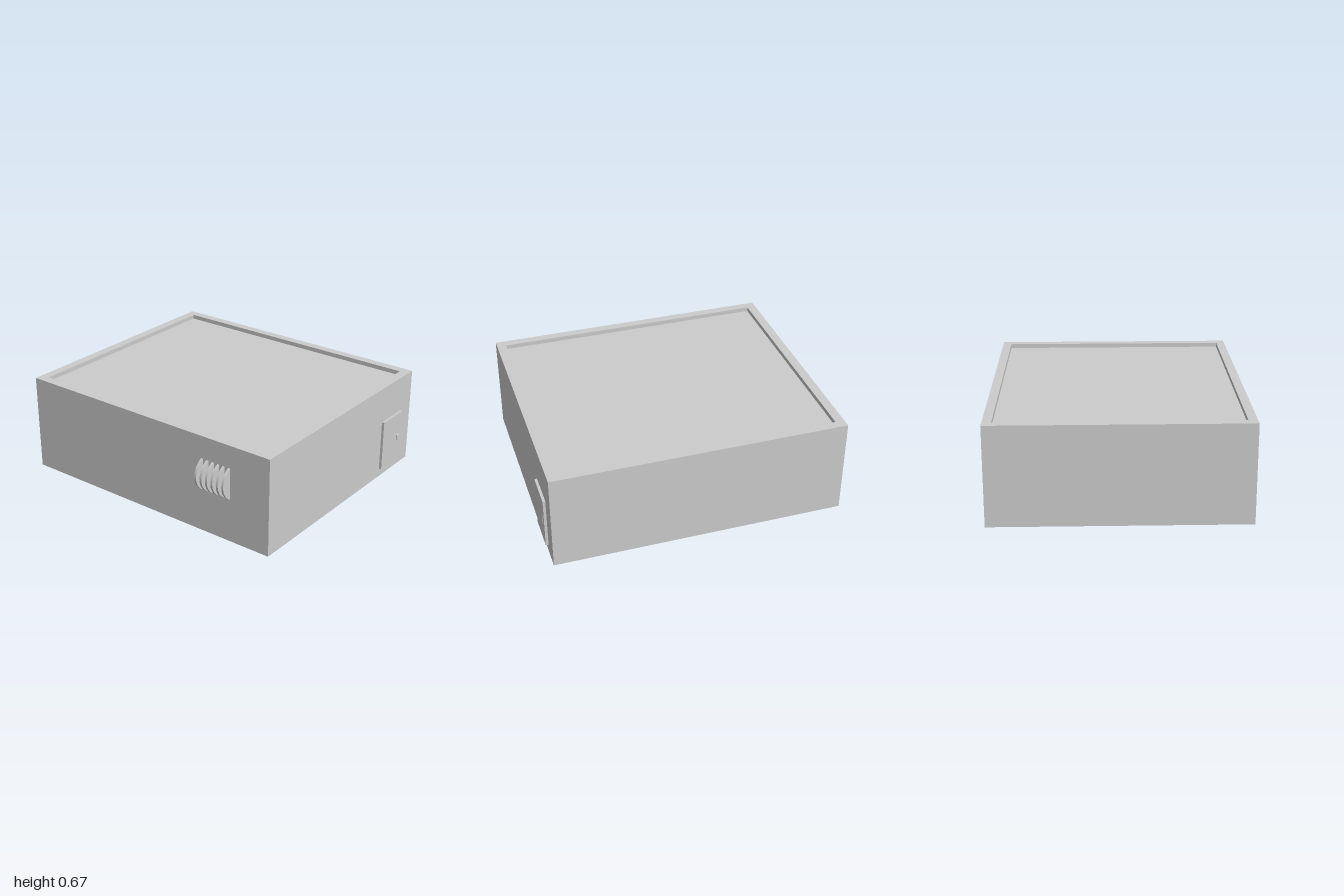
import * as THREE from 'three';

const material = new THREE.MeshStandardMaterial({ color: 0xcccccc });

function addMesh(parent, name, geometry, x = 0, y = 0, z = 0) {
  const mesh = new THREE.Mesh(geometry, material);
  mesh.name = name;
  mesh.position.set(x, y, z);
  parent.add(mesh);
  return mesh;
}

// Closed skin through rectangular rings, from the bottom ring to the last one.
function ringShell(rings) {
  const corners = rings.map(({ x0, x1, z0, z1, y }) => [
    [x0, y, z1], [x1, y, z1], [x1, y, z0], [x0, y, z0],
  ]);
  const positions = [];
  const quad = (a, b, c, d) => positions.push(...a, ...b, ...c, ...a, ...c, ...d);
  const first = corners[0];
  const last = corners[corners.length - 1];
  quad(first[3], first[2], first[1], first[0]);
  for (let r = 0; r + 1 < corners.length; r++) {
    for (let i = 0; i < 4; i++) {
      const j = (i + 1) % 4;
      quad(corners[r][i], corners[r][j], corners[r + 1][j], corners[r + 1][i]);
    }
  }
  quad(...last);
  const geometry = new THREE.BufferGeometry();
  geometry.setAttribute('position', new THREE.Float32BufferAttribute(positions, 3));
  geometry.computeVertexNormals();
  return geometry;
}

export function createModel() {
  const model = new THREE.Group();
  model.name = 'flatRoofBuilding';

  // Walls, parapet and sunken roof
  const outer = { x0: -0.815, x1: 0.88, z0: -1, z1: 0.977 };
  const inner = { x0: -0.755, x1: 0.82, z0: -0.938, z1: 0.913 };
  addMesh(model, 'building', ringShell([
    { ...outer, y: 0 },
    { ...outer, y: 0.67 },
    { ...inner, y: 0.67 },
    { ...inner, y: 0.64 },
  ]));

  // Door with a small handle
  const door = new THREE.Group();
  door.name = 'door';
  model.add(door);
  addMesh(door, 'doorPanel', new THREE.BoxGeometry(0.243, 0.358, 0.03), 0.622, 0.237, 0.98);
  const handle = addMesh(door, 'doorHandle',
    new THREE.CylinderGeometry(0.025, 0.025, 0.025, 24), 0.697, 0.235, 0.995);
  handle.rotation.z = Math.PI / 2;
  handle.scale.z = 0.2;

  // Side vent: a row of round fins set partly into the wall
  const vent = new THREE.Group();
  vent.name = 'sideVent';
  model.add(vent);
  for (let i = 0; i < 6; i++) {
    const fin = addMesh(vent, 'ventFin',
      new THREE.CylinderGeometry(0.117, 0.117, 0.015, 48), -0.768, 0.408, 0.463 + i * 0.0425);
    fin.rotation.x = Math.PI / 2;
  }

  return model;
}
